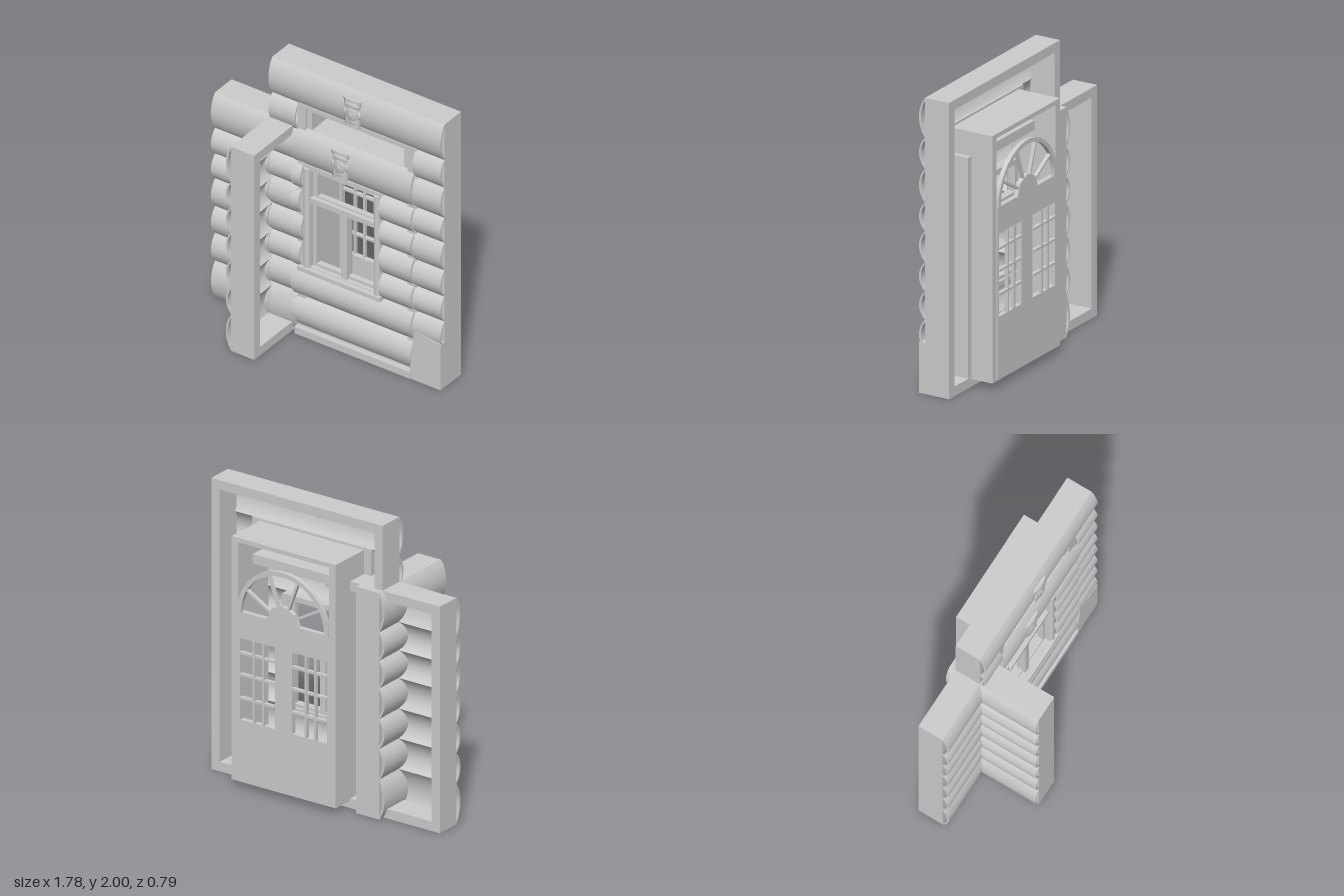
import * as THREE from 'three';
import { toCreasedNormals } from 'three/addons/utils/BufferGeometryUtils.js';

const grey = new THREE.MeshStandardMaterial({ color: 0xcccccc, side: THREE.DoubleSide });

function add(parent, geo, name) {
  const m = new THREE.Mesh(geo, grey);
  m.name = name;
  parent.add(m);
  return m;
}

// box given by its limits
function block(parent, name, x0, x1, y0, y1, z0, z1) {
  const m = add(parent, new THREE.BoxGeometry(x1 - x0, y1 - y0, z1 - z0), name);
  m.position.set((x0 + x1) / 2, (y0 + y1) / 2, (z0 + z1) / 2);
  return m;
}

function rect(Type, x0, x1, y0, y1) {
  const s = new Type();
  s.moveTo(x0, y0); s.lineTo(x1, y0); s.lineTo(x1, y1); s.lineTo(x0, y1); s.closePath();
  return s;
}

// rectangular panel with rectangular holes, extruded from z0 to z1
function panel(parent, name, outer, holes, z0, z1) {
  const s = rect(THREE.Shape, ...outer);
  holes.forEach(h => s.holes.push(rect(THREE.Path, ...h)));
  const g = new THREE.ExtrudeGeometry(s, { depth: z1 - z0, bevelEnabled: false });
  return add(parent, g.translate(0, 0, z0), name);
}

// thin skin of stacked logs; ys are the joints, bulging towards -x, extruded along z
function logGeometry(ys, length, bulge = 0.045) {
  const pts = [], n = 10;
  for (let i = 0; i < ys.length - 1; i++) {
    for (let k = i ? 1 : 0; k <= n; k++) {
      const t = k / n;
      pts.push([bulge * Math.pow(Math.max(0, Math.sin(Math.PI * t)), 0.75), ys[i] + (ys[i + 1] - ys[i]) * t]);
    }
  }
  const s = new THREE.Shape();
  pts.forEach(([o, y], i) => (i ? s.lineTo(-o, y) : s.moveTo(-o, y)));
  pts.reverse().forEach(([o, y]) => s.lineTo(-o + 0.014, y));
  s.closePath();
  return toCreasedNormals(new THREE.ExtrudeGeometry(s, { depth: length, bevelEnabled: false }), 0.7);
}

// log skin facing +z
function logs(parent, name, x0, x1, ys, bulge) {
  const g = logGeometry(ys, x1 - x0, bulge).rotateY(Math.PI / 2).translate(x0, 0, -0.045);
  return add(parent, g, name);
}

// carved head on a rough plaque
function carvedHead(parent, x, y) {
  const g = new THREE.Group();
  g.name = 'carvedHead';
  const ball = (name, px, py, pz, sx, sy, sz) => {
    const m = add(g, new THREE.SphereGeometry(1, 14, 10), name);
    m.position.set(px, py, pz);
    m.scale.set(sx, sy, sz);
  };
  const plaque = add(g, new THREE.CylinderGeometry(0.07, 0.06, 0.2, 8), 'plaque');
  plaque.scale.z = 0.22;
  ball('face', 0, 0, 0.006, 0.045, 0.062, 0.018);
  ball('hair', 0, 0.06, 0.004, 0.06, 0.03, 0.016);
  ball('nose', 0, -0.01, 0.02, 0.01, 0.02, 0.008);
  ball('beard', 0, -0.06, 0.005, 0.035, 0.03, 0.012);
  for (const s of [-1, 1]) ball('cheek', s * 0.05, 0, 0.004, 0.018, 0.03, 0.012);
  g.position.set(x, y, -0.006);
  parent.add(g);
}

export function createModel() {
  const model = new THREE.Group();
  model.name = 'logWallSet';
  const group = name => {
    const g = new THREE.Group();
    g.name = name;
    model.add(g);
    return g;
  };
  const R = 0.065, H = 1.555, ZB = -0.225, ZF = -0.045;
  const joints = [0, 0.275, 0.485, 0.69, 0.9, 1.09, 1.285, H];

  // plain wall at the side
  const side = group('plainWall');
  panel(side, 'backFrame', [-0.89, -0.28, 0, H], [[-0.89 + R, -0.28 - R, R, H - R]], ZB, ZF);
  logs(side, 'logSkin', -0.89, -0.45, joints);

  // wall running crosswise, logs facing -x
  const cross = group('crossWall');
  const frame = panel(cross, 'crossFrame', [-0.4, 0.27, 0, H], [[-0.4 + R, 0.27 - R, R, H - R]], -0.45, -0.27);
  frame.geometry.rotateY(Math.PI / 2);
  add(cross, logGeometry(joints, 0.67, 0.042).translate(-0.449, 0, -0.27), 'crossLogSkin');

  // tall wall with the door opening
  const tall = group('doorWall');
  panel(tall, 'backFrame', [-0.445, 0.89, 0, 2], [[-0.445 + R, 0.89 - R, R, 2 - R]], ZB, ZF);
  logs(tall, 'topLog', -0.445, 0.89, [1.73, 2]);
  const sideJoints = [0, 0.29, 0.5, 0.69, 0.89, 1.1, 1.29, 1.52, 1.73];
  logs(tall, 'leftLogs', 0.67, 0.89, sideJoints);
  logs(tall, 'rightLogs', -0.445, -0.24, sideJoints);
  carvedHead(tall, 0.205, 1.845);
  // splayed foot at the corner
  const foot = new THREE.Shape();
  [[0.655, 0], [0.89, 0], [0.89, 0.345], [0.8, 0.36], [0.685, 0.375], [0.65, 0.05]]
    .forEach(([x, y], i) => (i ? foot.lineTo(x, y) : foot.moveTo(x, y)));
  add(tall, new THREE.ExtrudeGeometry(foot, { depth: 0.045, bevelEnabled: false }).translate(0, 0, ZF), 'cornerFoot');

  // lower wall with the window opening
  const low = group('windowWall');
  panel(low, 'backFrame', [-0.44, 0.66, 0, H], [[-0.44 + R, 0.66 - R, R, H - R]], ZB + 0.002, ZF);
  logs(low, 'topLog', -0.27, 0.66, [1.285, H], 0.05);
  logs(low, 'bottomLogs', -0.27, 0.66, [0.05, 0.275, 0.495], 0.05);
  block(low, 'groundStrip', -0.24, 0.66, 0, 0.05, ZF, 0.005);
  const winJoints = [0.495, 0.69, 0.9, 1.09, 1.285];
  logs(low, 'leftLogs', 0.41, 0.66, winJoints, 0.05);
  for (let i = 0; i < 4; i++) {
    logs(low, 'logEnd', -0.27, [-0.205, -0.19, -0.21, -0.195][i], winJoints.slice(i, i + 2), 0.05);
  }
  carvedHead(low, 0.11, 1.41);

  // window with transom light and two sashes
  const win = group('window');
  panel(win, 'windowCasing', [-0.2, 0.415, 0.495, 1.29], [[-0.14, 0.355, 0.525, 1.255]], -0.12, -0.03);
  panel(win, 'windowSash', [-0.15, 0.365, 0.515, 1.265],
    [[-0.112, 0.09, 0.545, 1.0], [0.135, 0.335, 0.545, 1.0], [-0.105, 0.33, 1.06, 1.25]], -0.1, -0.06);
  block(win, 'transomBar', -0.14, 0.355, 1.012, 1.05, -0.065, -0.03);
  block(win, 'mullion', 0.09, 0.135, 0.525, 1.02, -0.065, -0.04);
  block(win, 'windowSill', -0.22, 0.42, 0.49, 0.52, -0.1, 0.005);
  for (const x of [-0.165, 0.38]) {
    const post = add(win, new THREE.CylinderGeometry(0.024, 0.024, 0.76, 10), 'windowPost');
    post.position.set(x, 0.89, -0.03);
  }

  // deep door box projecting at the back
  const door = group('door');
  panel(door, 'doorBox', [-0.19, 0.62, 0.05, 1.72], [[-0.14, 0.57, 0.08, 1.69]], -0.38, -0.05);
  panel(door, 'doorTrim', [-0.245, 0.68, 0.05, 1.735], [[-0.18, 0.61, 0.08, 1.705]], -0.075, -0.035);
  const panes = [[-0.125, 0.145], [0.28, 0.55]], py0 = 0.48, py1 = 1.04;
  panel(door, 'doorLeaf', [-0.14, 0.57, 0.06, 1.22],
    panes.map(([a, b]) => [a, b, py0, py1]), -0.385, -0.35);
  for (const [a, b] of panes) {
    for (const t of [0.33, 0.6]) {
      const x = a + (b - a) * t;
      block(door, 'verticalGlazingBar', x - 0.007, x + 0.007, py0, py1, -0.39, -0.365);
    }
    for (const y of [0.63, 0.79, 0.94]) block(door, 'horizontalGlazingBar', a, b, y - 0.008, y + 0.008, -0.39, -0.365);
  }

  // half-round fanlight above the leaf
  const fan = group('fanlight');
  fan.position.set(0.215, 1.215, -0.392);
  const arch = new THREE.Shape();
  arch.absarc(0, 0, 0.355, 0, Math.PI, false);
  arch.absarc(0, 0, 0.325, Math.PI, 0, true);
  arch.closePath();
  add(fan, new THREE.ExtrudeGeometry(arch, { depth: 0.03, bevelEnabled: false, curveSegments: 24 }), 'fanArch');
  const hub = new THREE.Shape();
  for (let i = 0; i <= 4; i++) {
    const a = Math.PI * i / 4, x = 0.125 * Math.cos(a), y = 0.125 * Math.sin(a);
    i ? hub.lineTo(x, y) : hub.moveTo(x, y);
  }
  hub.closePath();
  add(fan, new THREE.ExtrudeGeometry(hub, { depth: 0.03, bevelEnabled: false }), 'fanHub');
  for (const deg of [30, 70, 110, 150]) {
    const a = deg * Math.PI / 180;
    const spoke = add(fan, new THREE.BoxGeometry(0.23, 0.016, 0.024), 'fanSpoke');
    spoke.position.set(0.225 * Math.cos(a), 0.225 * Math.sin(a), 0.015);
    spoke.rotation.z = a;
  }
  return model;
}
